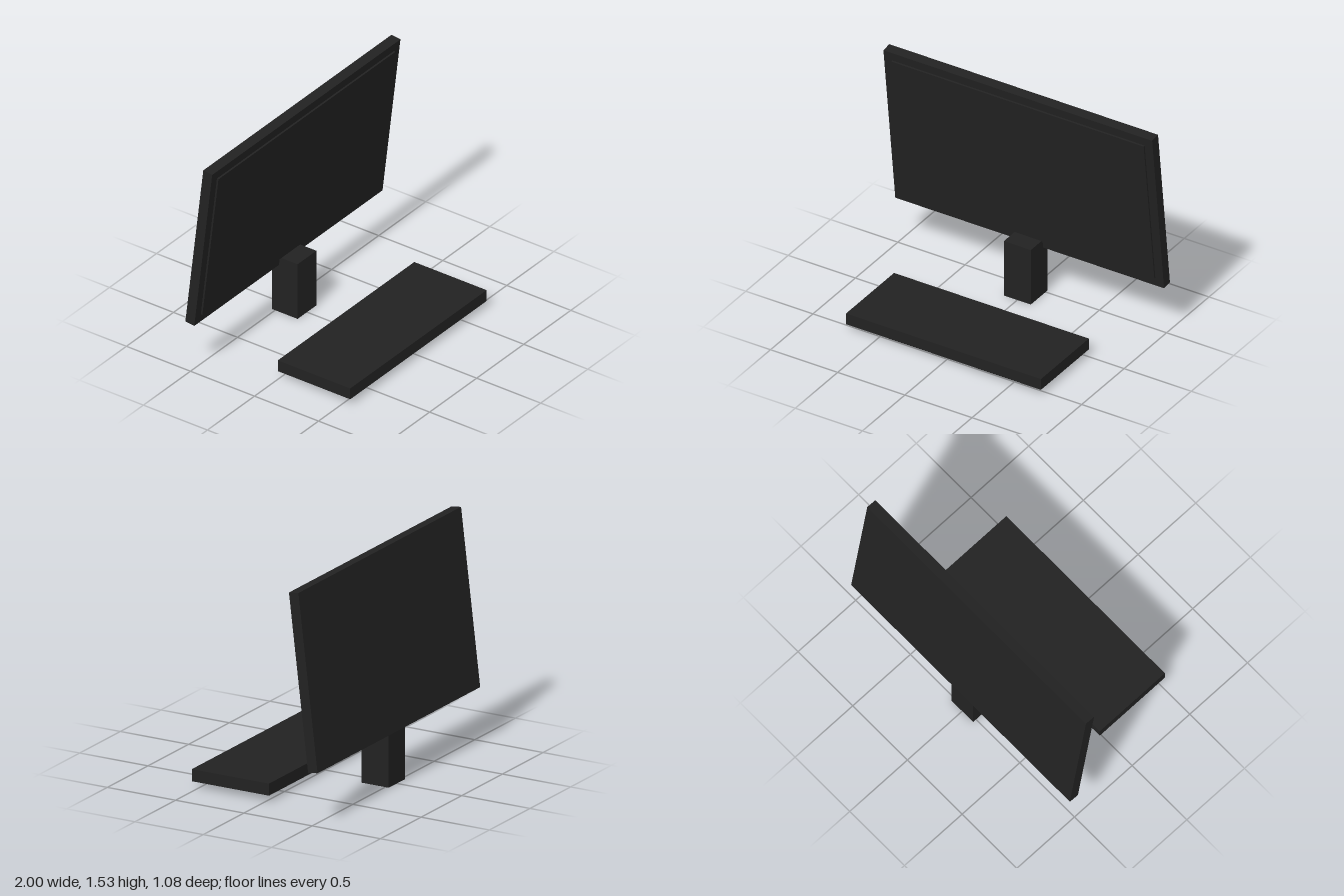
import * as THREE from 'three';

export function createModel() {
  const model = new THREE.Group();
  model.name = 'desktopMonitor';

  const charcoal = new THREE.MeshStandardMaterial({ color: 0x222222 });
  charcoal.name = 'charcoal';

  const box = (parent, name, size, position) => {
    const mesh = new THREE.Mesh(new THREE.BoxGeometry(...size), charcoal);
    mesh.name = name;
    mesh.position.set(...position);
    parent.add(mesh);
    return mesh;
  };

  // Display, leaning forward at the top
  const display = new THREE.Group();
  display.name = 'display';
  display.position.set(0, 0.937, -0.435);
  display.rotation.x = 0.119;
  model.add(display);
  box(display, 'casing', [2, 1.18, 0.07], [0, 0, 0]);
  // Raised screen panel, slightly embedded in the casing
  box(display, 'screen', [1.88, 1.06, 0.022], [0, 0, 0.036]);

  // Stand block under the display
  box(model, 'stand', [0.2, 0.405, 0.2], [0, 0.2025, -0.425]);

  // Keyboard slab in front
  box(model, 'keyboard', [1.45, 0.08, 0.565], [0, 0.08, 0.2625]);

  return model;
}
